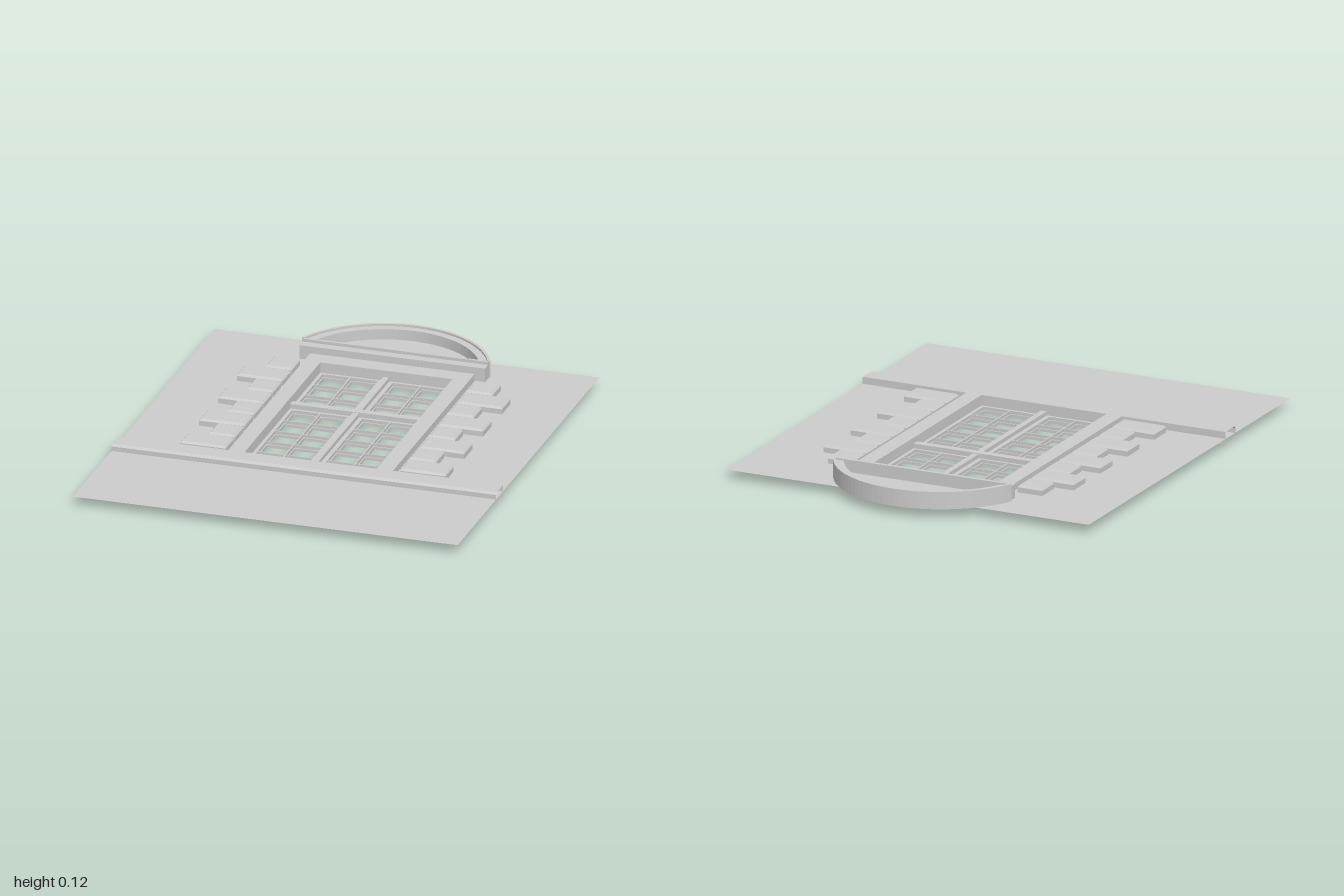
import * as THREE from 'three';

const material = new THREE.MeshStandardMaterial({ color: 0xcccccc, side: THREE.DoubleSide });

export function createModel() {
  const model = new THREE.Group();

  const add = (name, geometry) => {
    const mesh = new THREE.Mesh(geometry, material);
    mesh.name = name;
    model.add(mesh);
    return mesh;
  };

  const box = (name, x0, x1, y0, y1, z0, z1) =>
    add(name, new THREE.BoxGeometry(x1 - x0, y1 - y0, z1 - z0)
      .translate((x0 + x1) / 2, (y0 + y1) / 2, (z0 + z1) / 2));

  // Plan outlines: drawn in x and -z, then raised along y
  const rect = (x0, x1, z0, z1, Type = THREE.Shape) => new Type([
    [x0, -z0], [x1, -z0], [x1, -z1], [x0, -z1],
  ].map(p => new THREE.Vector2(...p)));

  const slab = (name, shape, y0, y1, curveSegments = 12) =>
    add(name, new THREE.ExtrudeGeometry(shape, { depth: y1 - y0, bevelEnabled: false, curveSegments })
      .rotateX(-Math.PI / 2).translate(0, y0, 0));

  // Flat-shaded skin between successive rows of points
  const skin = (rows, closed, capped) => {
    const pos = [];
    const quad = (a, b, c, d) => pos.push(...a, ...b, ...c, ...a, ...c, ...d);
    for (let i = 0; i < rows.length - 1; i++) {
      const a = rows[i], b = rows[i + 1], n = a.length;
      for (let j = 0; j < (closed ? n : n - 1); j++) {
        const k = (j + 1) % n;
        quad(a[j], a[k], b[k], b[j]);
      }
    }
    if (capped) quad(...rows[rows.length - 1]);
    const g = new THREE.BufferGeometry();
    g.setAttribute('position', new THREE.Float32BufferAttribute(pos, 3));
    g.computeVertexNormals();
    return g;
  };
  const ring = (x0, x1, z0, z1, y) => [[x0, y, z1], [x1, y, z1], [x1, y, z0], [x0, y, z0]];

  // Thin wall sheet with the window opening
  const wall = rect(-0.83, 0.83, -0.87, 1);
  wall.holes.push(rect(-0.35, 0.35, -0.68, 0.4, THREE.Path));
  add('wall', new THREE.ShapeGeometry(wall).rotateX(-Math.PI / 2).translate(0, 0.04, 0));

  // Open-ended ledge moulding across the wall
  const ledge = [[0.49, 0.04], [0.49, 0.06], [0.482, 0.07], [0.4, 0.07], [0.4, 0.013]];
  add('ledge', skin(ledge.map(([z, y]) => [[-0.83, y, z], [0.83, y, z]]), false));

  // Hollow casing, turning inward into the reveal
  add('windowCasing', skin([
    ring(-0.355, 0.355, -0.68, 0.4, 0.04),
    ring(-0.355, 0.355, -0.68, 0.4, 0.07),
    ring(-0.285, 0.285, -0.6, 0.4, 0.07),
    ring(-0.285, 0.285, -0.6, 0.4, 0.012),
  ], true));

  // Alternating long and short stones either side
  for (let i = 0; i < 8; i++) {
    const z0 = -0.612 + i * 0.1247, z1 = z0 + 0.111;
    const outer = i % 2 ? 0.572 : 0.49;
    for (const s of [-1, 1]) {
      const x0 = s < 0 ? -outer : 0.376, x1 = s < 0 ? -0.376 : outer, b = 0.008;
      add('quoin', skin([
        ring(x0, x1, z0, z1, 0.04),
        ring(x0, x1, z0, z1, 0.062),
        ring(x0 + b, x1 - b, z0 + b, z1 - b, 0.071),
      ], true, true));
    }
  }

  // Glazed leaves: a stepped grid with open panes
  const leaf = (name, x0, x1, z0, z1, paneZ, rows) => {
    const grid = (outline, grow) => {
      for (let c = 0; c < 2; c++) {
        for (let r = 0; r < rows; r++) {
          const px = (x0 < 0 ? -0.265 : 0.037) + c * 0.122, pz = paneZ + r * 0.1155;
          outline.holes.push(rect(px - grow, px + 0.106 + grow, pz - grow, pz + 0.101 + grow, THREE.Path));
        }
      }
      return outline;
    };
    slab(name, grid(rect(x0, x1, z0, z1), 0.005), 0.012, 0.025);
    const i0 = x0 < 0 ? -0.275 : 0.029;
    slab(name + 'Back', grid(rect(i0, i0 + 0.246, paneZ - 0.008, paneZ + rows * 0.1155 - 0.0065), 0), 0, 0.012);
  };
  for (const [x0, x1] of [[-0.285, 0], [0, 0.285]]) {
    leaf('upperLeaf', x0, x1, -0.6, -0.215, -0.582, 3);
    leaf('lowerLeaf', x0, x1, -0.215, 0.4, -0.181, 5);
  }
  box('mullion', -0.013, 0.013, 0.013, 0.042, -0.6, 0.4);
  box('transom', -0.285, 0.285, 0.013, 0.045, -0.233, -0.2);

  // Lintel with a raised fillet
  box('lintel', -0.4, 0.4, 0.04, 0.1, -0.725, -0.68);
  box('lintelFillet', -0.4, 0.4, 0.04, 0.113, -0.732, -0.72);

  // Segmental pediment, every arc cut off along the lintel
  const centre = 0.558, base = 0.73;
  const start = r => Math.asin((base - centre) / r);
  const arcBand = (r0, r1) => {
    const shape = new THREE.Shape();
    shape.absarc(0, centre, r1, start(r1), Math.PI - start(r1), false);
    if (r0) shape.absarc(0, centre, r0, Math.PI - start(r0), start(r0), true);
    shape.closePath();
    return shape;
  };
  slab('pedimentRim', arcBand(0.43, 0.442), 0.04, 0.115, 20);
  slab('pedimentArch', arcBand(0.397, 0.43), 0.04, 0.106, 20);
  slab('tympanum', arcBand(0, 0.398), 0.04, 0.06, 20);

  return model;
}
